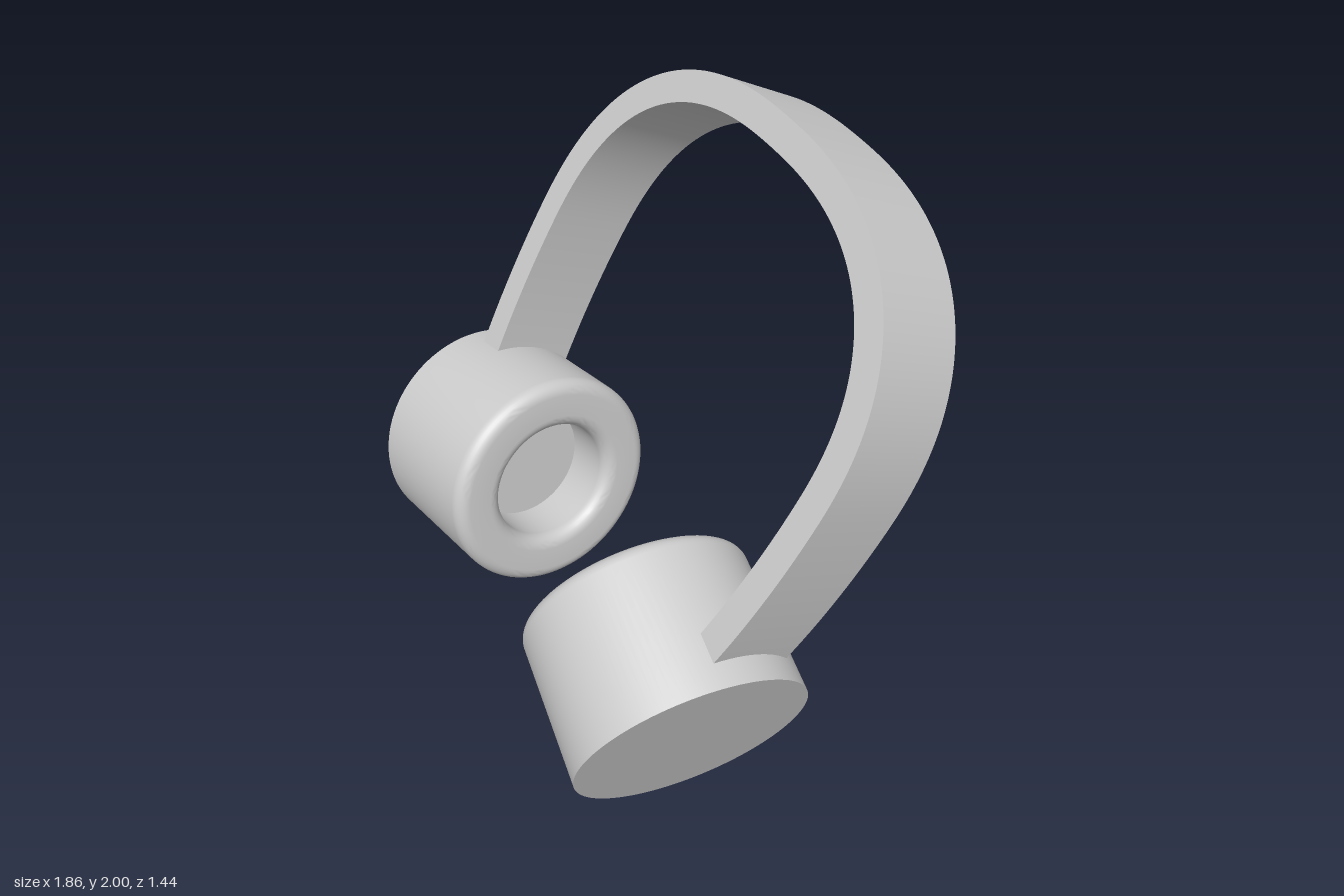
import * as THREE from 'three';
import { toCreasedNormals } from 'three/addons/utils/BufferGeometryUtils.js';

const material = new THREE.MeshStandardMaterial({ color: 0xcccccc });

// Outer line of the headband: nearly straight legs and a full, squarish arch
function bandOutline() {
  const a = 0.8, b = 0.785, base = 0.85, power = 2 / 2.4;
  const leg = [];
  for (let i = 0; i < 16; i++) {
    const v = 0.25 + (base - 0.25) * i / 16;
    leg.push(new THREE.Vector2(a - 0.035 * ((base - v) / 0.49) ** 2, v));
  }
  const arch = [];
  const steps = 96;
  for (let i = 0; i <= steps; i++) {
    const t = Math.PI * i / steps, c = Math.cos(t), s = Math.max(0, Math.sin(t));
    arch.push(new THREE.Vector2(
      a * Math.sign(c) * Math.abs(c) ** power, base + b * s ** power));
  }
  const mirrored = leg.map(p => new THREE.Vector2(-p.x, p.y)).reverse();
  return [...leg, ...arch, ...mirrored];
}

function createHeadband() {
  const thickness = 0.094, width = 0.29;
  const outer = bandOutline();
  // Inner line, offset along the curve normal
  const inner = outer.map((p, i) => {
    const d = outer[Math.min(i + 1, outer.length - 1)].clone()
      .sub(outer[Math.max(i - 1, 0)]).normalize();
    return new THREE.Vector2(p.x - d.y * thickness, p.y + d.x * thickness);
  });
  const shape = new THREE.Shape([...outer, ...inner.reverse()]);
  const geometry = new THREE.ExtrudeGeometry(shape, { depth: width, bevelEnabled: false });
  geometry.translate(0, 0, -width / 2);
  const band = new THREE.Mesh(toCreasedNormals(geometry, 0.6), material);
  band.name = 'headband';
  return band;
}

// Ear cup: closed outer disc, rounded cushion rim and a recessed opening
function createCupGeometry() {
  const radius = 0.37, length = 0.5, hole = 0.205, floor = 0.3, fillet = 0.045;
  const profile = [new THREE.Vector2(0, 0), new THREE.Vector2(radius, 0)];
  const round = (cx, from, to) => {
    for (let i = 0; i <= 8; i++) {
      const t = from + (to - from) * i / 8;
      profile.push(new THREE.Vector2(
        cx + fillet * Math.cos(t), length - fillet + fillet * Math.sin(t)));
    }
  };
  round(radius - fillet, 0, Math.PI / 2);
  round(hole + fillet, Math.PI / 2, Math.PI);
  profile.push(new THREE.Vector2(hole, floor), new THREE.Vector2(0, floor));
  return toCreasedNormals(new THREE.LatheGeometry(profile, 96), 0.6);
}

export function createModel() {
  const model = new THREE.Group();
  model.name = 'headphones';

  const headset = new THREE.Group();
  headset.name = 'headset';
  headset.add(createHeadband());

  // Mirrored cups, facing inward and slightly up
  const cupGeometry = createCupGeometry();
  for (const side of [1, -1]) {
    const cup = new THREE.Mesh(cupGeometry, material);
    cup.name = side > 0 ? 'leftEarCup' : 'rightEarCup';
    cup.position.x = side * 0.75;
    cup.rotation.z = side * THREE.MathUtils.degToRad(75);
    headset.add(cup);
  }

  // Leaning pose of the whole headset
  const across = new THREE.Vector3(0.922, -0.146, 0.359).normalize();
  const normal = across.clone().cross(new THREE.Vector3(0.277, 0.896, -0.346)).normalize();
  const up = normal.clone().cross(across);
  headset.quaternion.setFromRotationMatrix(new THREE.Matrix4().makeBasis(across, up, normal));
  headset.position.set(-0.142, 0.454, 0.131);
  model.add(headset);
  return model;
}
